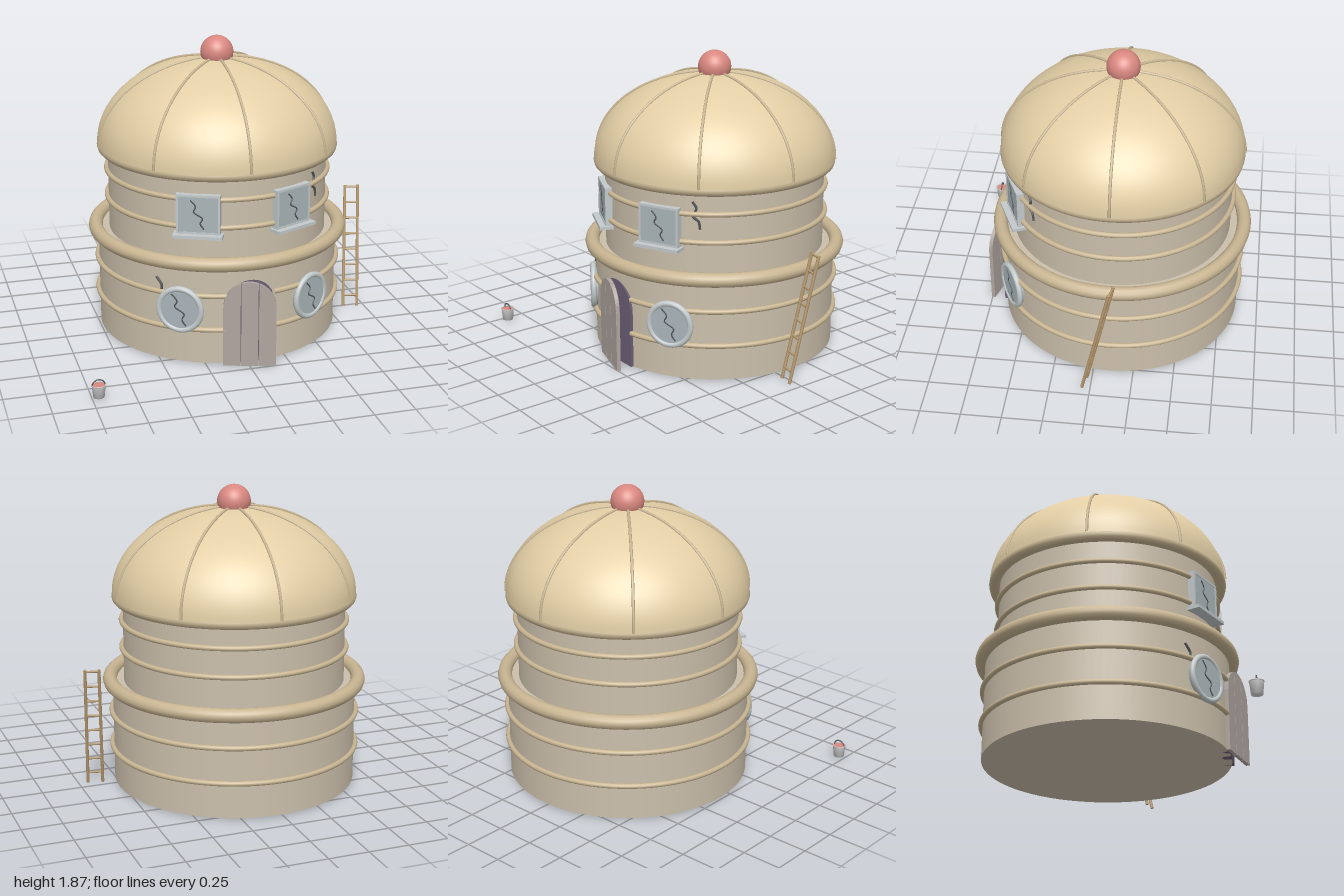
import * as THREE from 'three';

const mat = (color, side = THREE.FrontSide) => new THREE.MeshStandardMaterial({ color, side });
const M = {
  wall: mat(0xcbbfab), dome: mat(0xe3cfa6), band: mat(0xc8b592), ball: mat(0xd98880),
  door: mat(0xb0a59f), dark: mat(0x6a5f75), wood: mat(0xb89a70), frame: mat(0xc3cacb),
  glass: mat(0xaab6ba), crack: mat(0x55585a), metal: mat(0xcccccc, THREE.DoubleSide),
};

function add(parent, name, geo, material, x = 0, y = 0, z = 0) {
  const m = new THREE.Mesh(geo, material);
  m.name = name;
  m.position.set(x, y, z);
  parent.add(m);
  return m;
}

// Group standing on the round wall, facing outwards; local z is the distance from the axis
function onWall(parent, name, angle, y) {
  const g = new THREE.Group();
  g.name = name;
  g.position.y = y;
  g.rotation.y = angle;
  parent.add(g);
  return g;
}

// Horizontal ring, with an optional gap at the front
function ring(parent, name, R, r, y, material, gap = 0) {
  const geo = new THREE.TorusGeometry(R, r, 12, 96, Math.PI * 2 - 2 * gap);
  geo.rotateZ(Math.PI / 2 + gap).rotateX(Math.PI / 2);
  return add(parent, name, geo, material, 0, y, 0);
}

const tube = (pts, r, n = 24, sides = 6) =>
  new THREE.TubeGeometry(new THREE.CatmullRomCurve3(pts.map(p => new THREE.Vector3(...p))), n, r, sides);

// Straight bar between two points
function bar(parent, name, a, b, r, material) {
  const m = add(parent, name, new THREE.CylinderGeometry(r, r, a.distanceTo(b), 8), material);
  m.position.copy(a).lerp(b, 0.5);
  m.quaternion.setFromUnitVectors(new THREE.Vector3(0, 1, 0), b.clone().sub(a).normalize());
}

// Upright slab from x0 to x1, cut by a round arch of half width R
function archSlab(x0, x1, R, spring, depth) {
  const s = new THREE.Shape();
  s.moveTo(x0, 0);
  s.lineTo(x1, 0);
  for (let i = 0; i <= 16; i++) {
    const x = x1 + (x0 - x1) * i / 16;
    s.lineTo(x, spring + Math.sqrt(Math.max(0, R * R - x * x)));
  }
  return new THREE.ExtrudeGeometry(s, { depth, bevelEnabled: false });
}

function glassCrack(parent, z, s) {
  add(parent, 'glassCrack', tube([[-0.05, 0.1, z], [-0.015, 0.055, z], [-0.03, 0.02, z],
    [0.03, -0.025, z], [0.015, -0.06, z], [0.04, -0.1, z]].map(p => [p[0] * s, p[1] * s, z]), 0.005), M.crack);
}

function roundWindow(parent, angle) {
  const g = onWall(parent, 'roundWindow', angle, 0.355);
  add(g, 'windowFrame', new THREE.TorusGeometry(0.132, 0.018, 12, 48), M.frame, 0, 0, 0.778);
  add(g, 'windowGlass', new THREE.CylinderGeometry(0.132, 0.132, 0.068, 48).rotateX(Math.PI / 2), M.glass, 0, 0, 0.754);
  glassCrack(g, 0.788, 1);
}

function squareWindow(parent, angle) {
  const g = onWall(parent, 'squareWindow', angle, 0.945);
  add(g, 'windowGlass', new THREE.BoxGeometry(0.25, 0.23, 0.05), M.glass, 0, 0, 0.693);
  for (const s of [-1, 1]) {
    add(g, 'windowFrameSide', new THREE.BoxGeometry(0.014, 0.246, 0.055), M.frame, s * 0.126, 0, 0.694);
    add(g, 'windowFrameRail', new THREE.BoxGeometry(0.266, 0.014, 0.055), M.frame, 0, s * 0.116, 0.694);
  }
  add(g, 'windowSill', new THREE.BoxGeometry(0.3, 0.02, 0.1), M.frame, 0, -0.13, 0.71);
  glassCrack(g, 0.718, 0.9);
}

function ladder(parent) {
  const g = new THREE.Group();
  g.name = 'ladder';
  const rails = [[[0.855, 0.01, 0.03], [0.908, 0.8, -0.14]], [[0.945, 0.01, 0.05], [0.99, 0.8, -0.12]]]
    .map(r => r.map(p => new THREE.Vector3(...p)));
  for (const [a, b] of rails) bar(g, 'ladderRail', a, b, 0.01, M.wood);
  for (let i = 0; i < 8; i++) {
    const t = 0.09 + i * 0.128;
    const [p, q] = rails.map(([a, b]) => a.clone().lerp(b, t));
    bar(g, 'ladderRung', p, q, 0.007, M.wood);
  }
  parent.add(g);
}

function bucket(parent) {
  const g = new THREE.Group();
  g.name = 'bucket';
  g.position.set(-0.96, 0.008, 0.878);
  const wall = [[0, 0], [0.033, 0], [0.041, 0.076]].map(p => new THREE.Vector2(...p));
  add(g, 'bucketBody', new THREE.LatheGeometry(wall, 32), M.metal);
  add(g, 'bucketRim', new THREE.TorusGeometry(0.04, 0.003, 8, 32).rotateX(Math.PI / 2), M.metal, 0, 0.076, 0);
  add(g, 'paint', new THREE.CylinderGeometry(0.039, 0.038, 0.008, 32), M.ball, 0, 0.069, 0);
  add(g, 'bucketHandle', new THREE.TorusGeometry(0.038, 0.004, 8, 24, Math.PI), M.crack, 0, 0.07, 0);
  parent.add(g);
}

export function createModel() {
  const model = new THREE.Group();
  model.name = 'roundHouse';
  const house = new THREE.Group();
  house.name = 'house';
  house.position.set(0.019, 0, -0.1);
  model.add(house);

  // Two storeys with their bands
  add(house, 'lowerWall', new THREE.CylinderGeometry(0.76, 0.76, 0.642, 96), M.wall, 0, 0.329, 0);
  add(house, 'upperWall', new THREE.CylinderGeometry(0.69, 0.69, 0.56, 96), M.wall, 0, 0.91, 0);
  ring(house, 'ledgeRing', 0.778, 0.044, 0.655, M.band);
  for (const y of [0.23, 0.45]) ring(house, 'lowerBand', 0.77, 0.016, y, M.band, 0.19);
  for (const y of [0.86, 1.035]) ring(house, 'upperBand', 0.7, 0.016, y, M.band);

  // Domed roof, its ribs and the ball on top
  const curve = [];
  for (let i = 0; i <= 24; i++) {
    const a = i / 24 * Math.PI / 2;
    curve.push(new THREE.Vector2(0.755 * Math.cos(a), 1.2 + 0.535 * Math.sin(a)));
  }
  curve[24].x = 0;
  add(house, 'domeRoof', new THREE.LatheGeometry(curve, 96), M.dome);
  ring(house, 'domeRim', 0.722, 0.036, 1.19, M.band);
  const rib = tube(curve.map(p => [p.x, p.y + 0.003, 0]), 0.009, 48, 8);
  for (let i = 0; i < 8; i++) add(house, 'domeRib', rib, M.band).rotation.y = i * Math.PI / 4;
  add(house, 'roofBall', new THREE.SphereGeometry(0.103, 32, 24), M.ball, 0, 1.767, 0);

  // Doorway and a planked door standing ajar
  add(house, 'doorway', archSlab(-0.15, 0.15, 0.15, 0.383, 0.06), M.dark, 0, 0.008, 0.703);
  const door = new THREE.Group();
  door.name = 'door';
  door.position.set(-0.166, 0, 0.742);
  door.rotation.y = -0.29;
  house.add(door);
  for (let i = 0; i < 3; i++) {
    const x0 = -0.16 + i * 0.32 / 3;
    add(door, 'doorPlank', archSlab(x0 + (i ? 0.002 : 0), x0 + 0.32 / 3 - (i < 2 ? 0.002 : 0), 0.16, 0.383, 0.024),
      M.door, 0.16, 0, 0);
  }

  // Windows in mirrored pairs
  for (const s of [-1, 1]) {
    roundWindow(house, s * 0.56);
    squareWindow(house, s * 0.427);
  }

  // Cracks in the walls
  const upper = onWall(house, 'upperWallCrack', 0.755, 1.02);
  add(upper, 'crack', tube([[-0.025, 0.09, 0.692], [0, 0.05, 0.694], [-0.022, 0.0, 0.694],
    [0.012, -0.03, 0.694], [0.022, -0.08, 0.692]], 0.008), M.crack);
  const lower = onWall(house, 'lowerWallCrack', -0.735, 0.5);
  add(lower, 'crack', tube([[-0.025, 0.04, 0.762], [0, 0.01, 0.764], [0.012, -0.01, 0.764], [0.008, -0.04, 0.764]], 0.008), M.crack);

  ladder(model);
  bucket(model);
  return model;
}
